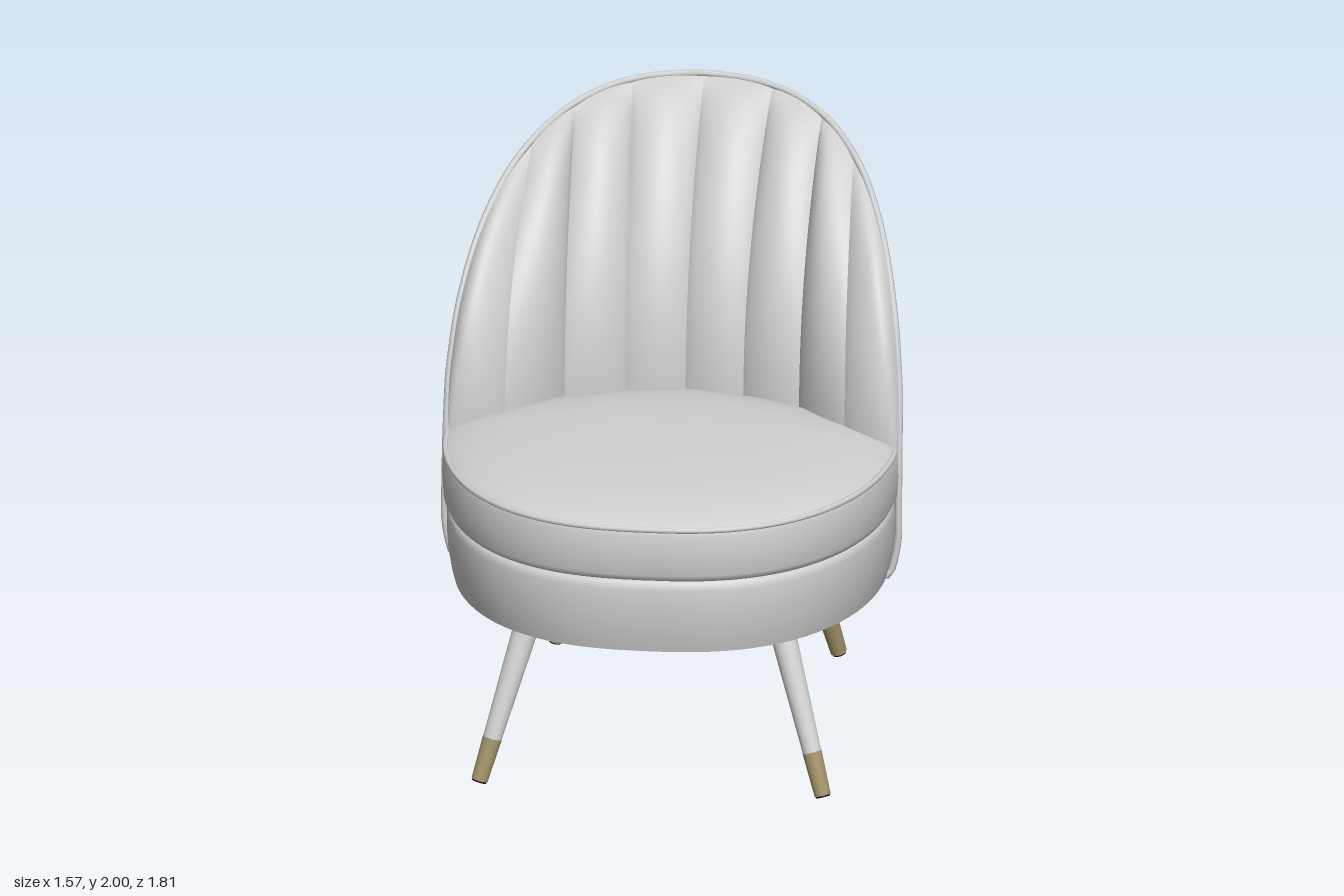
import * as THREE from 'three';

const fabric = new THREE.MeshStandardMaterial({ color: 0xcfcfcf, side: THREE.DoubleSide });
fabric.name = 'light grey fabric';
const legPaint = new THREE.MeshStandardMaterial({ color: 0xd6d6d6 });
legPaint.name = 'pale leg paint';
const brass = new THREE.MeshStandardMaterial({ color: 0xa39469 });
brass.name = 'brass';
const rubber = new THREE.MeshStandardMaterial({ color: 0x111111 });
rubber.name = 'black rubber';

const MID = 0.07; // z where the back shell meets the seat front

// Smooth surface from a rule point(u, v), facing du x dv
function surface(nu, nv, point, flip = false) {
  const pos = [], idx = [];
  for (let i = 0; i <= nu; i++)
    for (let j = 0; j <= nv; j++) pos.push(...point(i / nu, j / nv));
  for (let i = 0; i < nu; i++)
    for (let j = 0; j < nv; j++) {
      const a = i * (nv + 1) + j, b = a + nv + 1;
      if (flip) idx.push(a, b + 1, b, a, a + 1, b + 1);
      else idx.push(a, b, b + 1, a, b + 1, a + 1);
    }
  const g = new THREE.BufferGeometry();
  g.setAttribute('position', new THREE.Float32BufferAttribute(pos, 3));
  g.setIndex(idx);
  g.computeVertexNormals();
  return g;
}

function lookup(table, y) {
  let i = 1;
  while (i < table.length - 1 && y > table[i][0]) i++;
  const [y0, a] = table[i - 1], [y1, b] = table[i];
  return a + (b - a) * (y - y0) / (y1 - y0);
}

// Back shell: half width and rear z by height
const WIDTH = [[0.56, 0.74], [0.62, 0.764], [0.7, 0.775], [1.2, 0.773], [1.4, 0.76], [1.6, 0.74], [1.8, 0.72], [2, 0.69]];
const REAR = [[0.56, -0.6], [1.84, -0.893], [1.91, -0.904], [1.96, -0.89], [2, -0.852]];
const shellPoint = (phi, y, swell = 1) => [
  lookup(WIDTH, y) * Math.cos(phi) * swell, y, MID - (MID - lookup(REAR, y)) * Math.sin(phi) * swell];

// Rim of the shell as (angle, height), from the front foot to the top centre
const rim = new THREE.CatmullRomCurve3([
  [0, 0.56], [0.01, 0.8], [0.04, 1.0], [0.11, 1.24], [0.198, 1.43], [0.34, 1.61],
  [0.524, 1.755], [0.695, 1.845], [0.927, 1.922], [1.22, 1.972], [Math.PI / 2, 1.988],
].map(([a, y]) => new THREE.Vector3(a, y, 0)));
const rimPoint = (t) => { const p = rim.getPoint(t); return shellPoint(p.x, p.y); };

// Plan outline of the seat: broad front, back half with its own depth and roundness
function outline(phi, scale, y, depth, power) {
  const c = Math.cos(phi), s = Math.sin(phi), back = s > 0;
  const x = Math.sign(c) * Math.abs(c) ** (2 / (back ? power : 2.5));
  const z = back ? depth * s ** (2 / power) : 0.828 * s;
  return [0.77 * scale * x, y, MID - scale * z];
}

function ringSolid(rings, depth, power) {
  return surface(96, rings.length - 1, (u, v) => {
    const [scale, y] = rings[Math.round(v * (rings.length - 1))];
    return outline(u * Math.PI * 2, scale, y, depth, power);
  });
}

function piping(points, radius) {
  const path = new THREE.CatmullRomCurve3(points.map((p) => new THREE.Vector3(...p)));
  return new THREE.TubeGeometry(path, 160, radius, 8);
}

// Tapered rod between two points
function rod(a, b, ra, rb, material, name) {
  const dir = b.clone().sub(a);
  const m = new THREE.Mesh(new THREE.CylinderGeometry(rb, ra, dir.length(), 24), material);
  m.position.copy(a).addScaledVector(dir, 0.5);
  m.quaternion.setFromUnitVectors(new THREE.Vector3(0, 1, 0), dir.normalize());
  m.name = name;
  return m;
}

export function createModel() {
  const model = new THREE.Group();
  model.name = 'armchair';
  const add = (geometry, name) => {
    const m = new THREE.Mesh(geometry, fabric);
    m.name = name;
    model.add(m);
  };

  // Seat base and cushion
  add(ringSolid([[0, 0.56], [0.955, 0.56], [0.955, 0.56], [0.967, 0.6], [0.98, 0.66], [0.986, 0.73],
    [0.984, 0.79], [0.975, 0.815], [0.94, 0.828], [0, 0.828]], 0.695, 2), 'seatBase');
  add(ringSolid([[0, 0.822], [0.96, 0.822], [0.985, 0.828], [1, 0.85], [1.006, 0.92], [1.002, 0.99],
    [0.988, 1.015], [0.988, 1.015], [0.95, 1.032], [0.85, 1.055], [0.7, 1.072], [0.5, 1.083],
    [0.25, 1.088], [0, 1.09]], 0.45, 1.6), 'seatCushion');
  const edge = [];
  for (let i = 0; i <= 48; i++) edge.push(outline(-Math.PI * i / 48, 0.992, 1.014, 0.45, 1.6));
  add(piping(edge, 0.01), 'cushionPiping');

  // Outer back shell, swelling at the rear quarters
  add(surface(128, 32, (u, v) => {
    const p = rim.getPoint(u < 0.5 ? 2 * u : 2 - 2 * u);
    const swell = 1 + 0.14 * v * (1 - v) * Math.sin(2 * p.x);
    return shellPoint(u < 0.5 ? p.x : Math.PI - p.x, 0.56 + (p.y - 0.56) * v, swell);
  }), 'backShell');

  // Rim piping, turning under the seat at both ends
  const half = [[0.65, 0.558, MID], [0.71, 0.558, MID]];
  for (let i = 0; i <= 50; i++) half.push(rimPoint(i / 50));
  const other = half.slice(0, -1).reverse().map(([x, y, z]) => [-x, y, z]);
  add(piping([...half, ...other], 0.012), 'rimPiping');

  // Padded channels: seams run from a foot (x, z) behind the cushion to a spot on the rim
  const seams = [[0, -0.335, 1], [0.2, -0.305, 0.9], [0.4, -0.225, 0.8], [0.58, -0.02, 0.7], [0.765, 0.048, 0.2]];
  for (const side of [1, -1])
    for (let k = 0; k < 4; k++) {
      const [xa, za, ta] = seams[k], [xb, zb, tb] = seams[k + 1];
      const len = Math.hypot(xb - xa, zb - za);
      const nx = -(zb - za) / len, nz = (xb - xa) / len;
      add(surface(20, 32, (f, w) => {
        const top = rimPoint(ta + (tb - ta) * f);
        const puff = (0.02 + 0.025 * w) * Math.sin(Math.PI * f) ** 0.8 * (1 - w ** 14);
        const q = w ** 2.4;
        const x = (xa + (xb - xa) * f) * (1 - q) + top[0] * q + nx * puff;
        const z = (za + (zb - za) * f) * (1 - q) + top[2] * q + nz * puff;
        return [side * x, 0.95 + (top[1] - 0.95) * w + puff * w, z];
      }, side < 0), 'backChannel');
    }

  // Splayed legs with brass tips and dark feet, set slightly off centre
  for (const side of [1, -1])
    for (const [name, fx, fz, tx, tz] of [['frontLeg', 0.587, 0.735, 0.427, 0.607], ['backLeg', 0.484, -0.585, 0.354, -0.42]]) {
      const leg = new THREE.Group();
      leg.name = name;
      const foot = new THREE.Vector3(side * fx + 0.01, 0.008, fz);
      const top = new THREE.Vector3(side * tx + 0.01, 0.58, tz);
      const at = (f) => foot.clone().lerp(top, f);
      leg.add(rod(at(0), at(0.01), 0.025, 0.025, rubber, 'footPad'));
      leg.add(rod(at(0.01), at(0.26), 0.028, 0.033, brass, 'legTip'));
      leg.add(rod(at(0.26), at(1), 0.032, 0.045, legPaint, 'legShaft'));
      model.add(leg);
    }
  return model;
}
